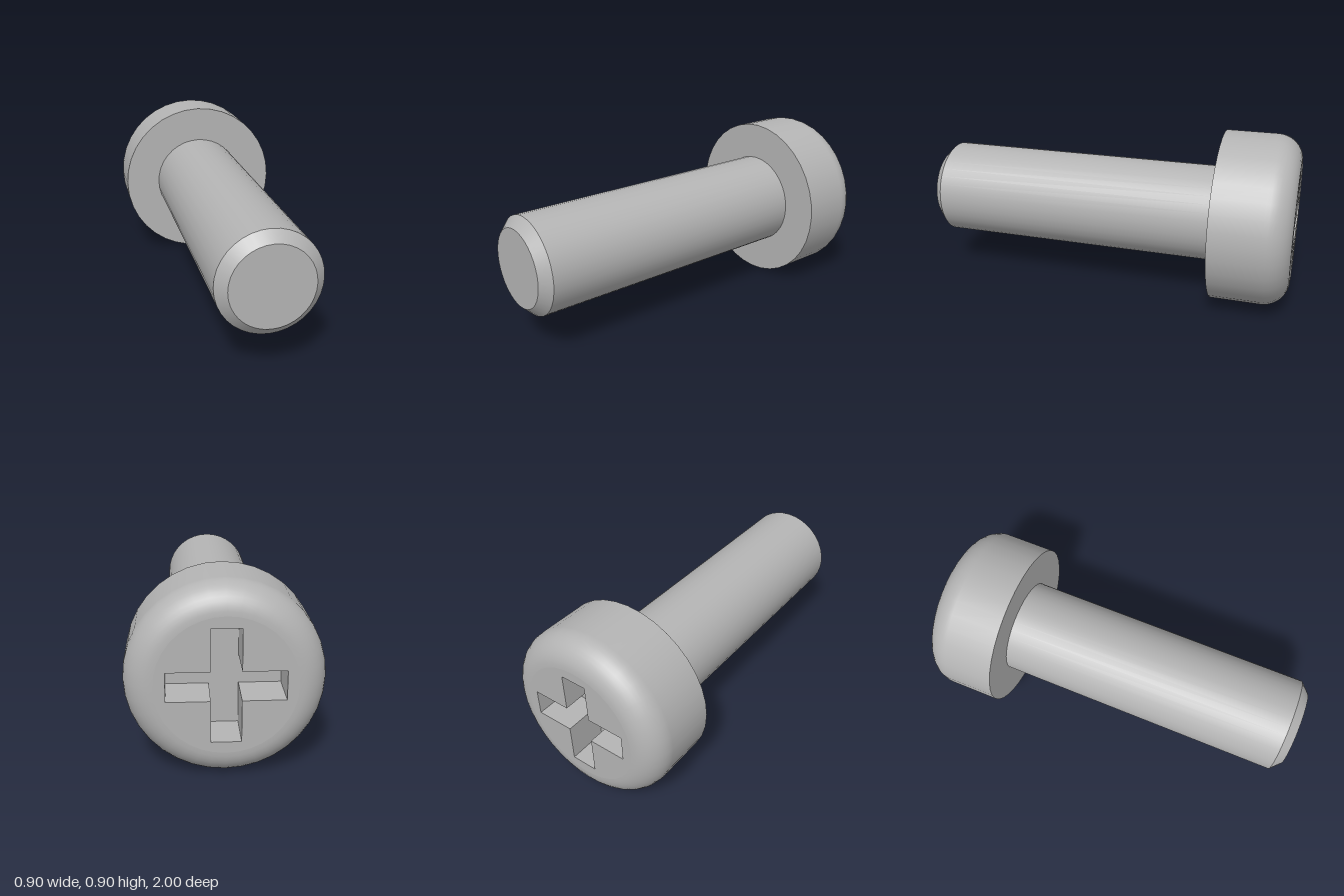
import * as THREE from 'three';

const SEGMENTS = 36;
const HEAD_R = 0.4525, FILLET = 0.135, FACE_R = HEAD_R - FILLET;
const SHAFT_R = 0.256, TIP_R = 0.204;
const BACK = -1, FLANGE = -0.6, SLOT_FLOOR = -0.8;

const steel = new THREE.MeshStandardMaterial({ color: 0xb4b4b4 });
steel.name = 'steel';

function part(name, geometry) {
  const mesh = new THREE.Mesh(geometry, steel);
  mesh.name = name;
  return mesh;
}

// Surface turned about the z axis from [radius, z] points, running back to front
function turned(name, profile) {
  const points = profile.map(([r, z]) => new THREE.Vector2(r, z));
  return part(name, new THREE.LatheGeometry(points, SEGMENTS).rotateX(Math.PI / 2));
}

// Flat shape facing the back
function backFace(name, shape, z) {
  return part(name, new THREE.ShapeGeometry(shape, SEGMENTS).rotateY(Math.PI).translate(0, 0, z));
}

// Counter-clockwise outline of the cross recess
function crossOutline(a, b) {
  const points = [];
  for (let i = 0; i < 4; i++) {
    for (const [x, y] of [[b, -a], [b, a], [a, a]]) {
      points.push(new THREE.Vector2(x, y).rotateAround(new THREE.Vector2(), i * Math.PI / 2));
    }
  }
  return points;
}

// Inward-facing walls of the recess
function recessWalls(outline) {
  const positions = [];
  outline.forEach((p, i) => {
    const q = outline[(i + 1) % outline.length];
    const p0 = [p.x, p.y, BACK], p1 = [p.x, p.y, SLOT_FLOOR];
    const q0 = [q.x, q.y, BACK], q1 = [q.x, q.y, SLOT_FLOOR];
    positions.push(...p0, ...p1, ...q1, ...p0, ...q1, ...q0);
  });
  const geometry = new THREE.BufferGeometry();
  geometry.setAttribute('position', new THREE.Float32BufferAttribute(positions, 3));
  geometry.computeVertexNormals();
  return part('recessWalls', geometry);
}

export function createModel() {
  const screw = new THREE.Group();
  screw.name = 'screw';

  // Head: rounded rim, back face with cross recess, flange underside
  const head = new THREE.Group();
  head.name = 'head';
  const rim = [];
  for (let i = 0; i <= 10; i++) {
    const t = (i / 10) * Math.PI / 2;
    rim.push([FACE_R + FILLET * Math.sin(t), BACK + FILLET * (1 - Math.cos(t))]);
  }
  rim.push([HEAD_R, FLANGE]);

  const outline = crossOutline(0.068, 0.264);
  const disc = [];
  for (let i = 0; i < SEGMENTS; i++) {
    const t = (i / SEGMENTS) * Math.PI * 2;
    disc.push(new THREE.Vector2(FACE_R * Math.cos(t), FACE_R * Math.sin(t)));
  }
  const face = new THREE.Shape(disc);
  face.holes.push(new THREE.Path(outline));

  head.add(
    turned('headRim', rim),
    backFace('headFace', face, BACK),
    recessWalls(outline),
    backFace('recessFloor', new THREE.Shape(outline), SLOT_FLOOR),
    turned('headUnderside', [[HEAD_R, FLANGE], [SHAFT_R, FLANGE]])
  );

  // Shaft with chamfered tip
  const shaft = new THREE.Group();
  shaft.name = 'shaft';
  shaft.add(
    turned('shaftSide', [[SHAFT_R, FLANGE], [SHAFT_R, 0.948]]),
    turned('tipChamfer', [[SHAFT_R, 0.948], [TIP_R, 1]]),
    turned('tipFace', [[TIP_R, 1], [0, 1]])
  );

  screw.add(head, shaft);
  screw.position.y = 0.454;

  const model = new THREE.Group();
  model.name = 'model';
  model.add(screw);
  return model;
}
